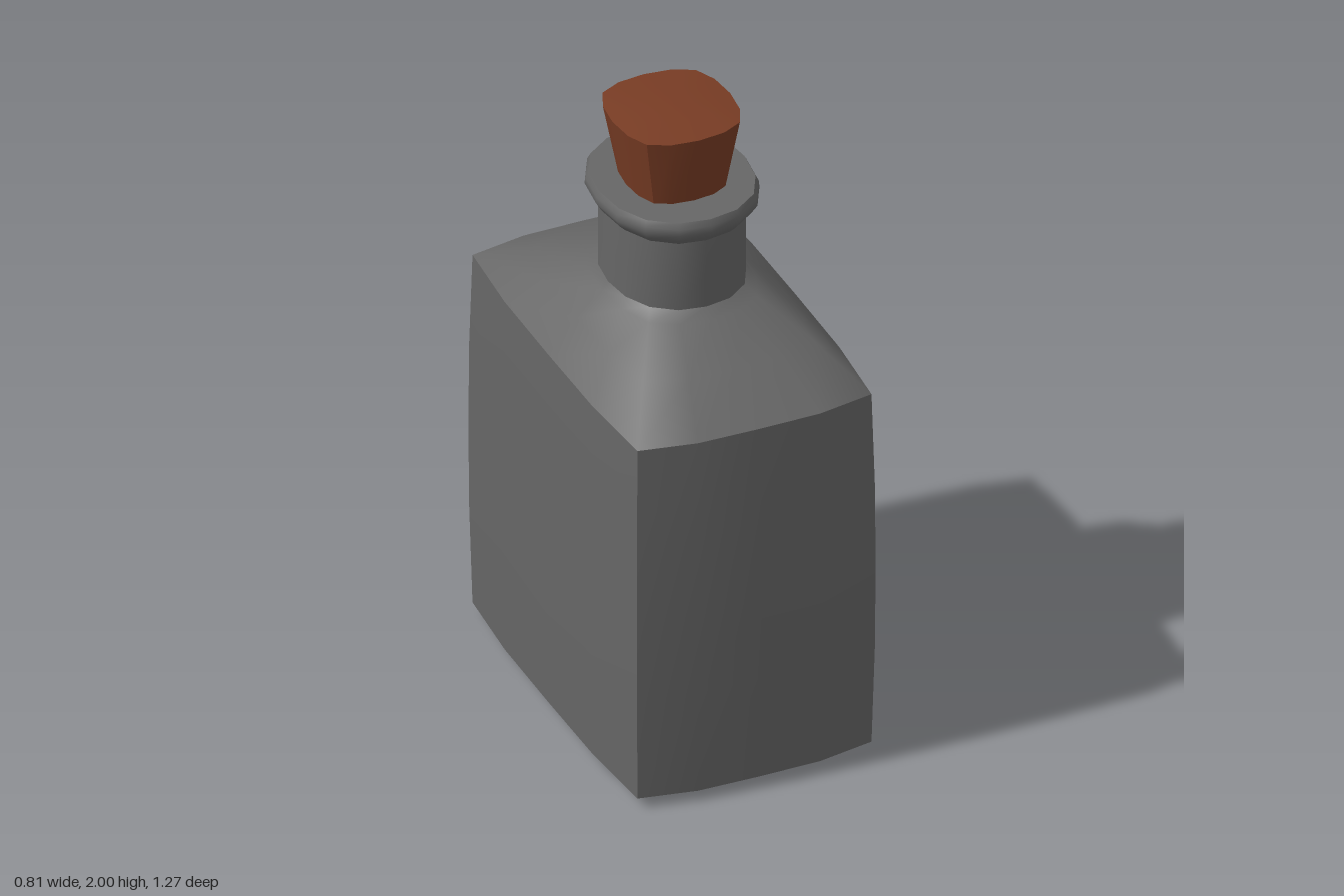
import * as THREE from 'three';
import { toCreasedNormals } from 'three/addons/utils/BufferGeometryUtils.js';

const N = 16; // points around every cross-section

// Mirror a quarter outline (front to side, [x, z]) into a closed ring
function ringFromQuarter(q) {
  const ring = [];
  for (let i = 0; i < N; i++) {
    const k = i % 4, quad = Math.floor(i / 4);
    const [x, z] = quad % 2 === 0 ? q[k] : q[4 - k];
    ring.push([quad < 2 ? x : -x, quad === 0 || quad === 3 ? z : -z]);
  }
  return ring;
}

const at = (ring, y, sx = 1, sz = sx, dz = 0) => ring.map(([x, z]) => [x * sx, y, z * sz + dz]);
const mix = (a, b, t, y) => a.map(([x, z], i) => [x + (b[i][0] - x) * t, y, z + (b[i][1] - z) * t]);

// Skin a stack of rings
function loft(rings, crease) {
  const index = [];
  for (let j = 0; j < rings.length - 1; j++) {
    for (let i = 0; i < N; i++) {
      const n = (i + 1) % N;
      const a = j * N + i, b = j * N + n, c = b + N, d = a + N;
      index.push(a, b, c, a, c, d);
    }
  }
  const geo = new THREE.BufferGeometry();
  geo.setAttribute('position', new THREE.Float32BufferAttribute(rings.flat(2), 3));
  geo.setIndex(index);
  geo.computeVertexNormals();
  return crease ? toCreasedNormals(geo, crease) : geo;
}

export function createModel() {
  const group = new THREE.Group();
  const glass = new THREE.MeshStandardMaterial({ color: 0x666666 });
  glass.name = 'grey glass';
  const corkMat = new THREE.MeshStandardMaterial({ color: 0x783c24 });
  corkMat.name = 'brown cork';

  const add = (name, geo, mat) => {
    const mesh = new THREE.Mesh(geo, mat);
    mesh.name = name;
    group.add(mesh);
  };

  const bodyRing = ringFromQuarter([[0, 0.635], [0.2, 0.632], [0.383, 0.597], [0.403, 0.32], [0.405, 0]]);
  const rimRing = bodyRing.map(([x, z]) => [x * 0.98, z * 0.98]);
  const oval = ringFromQuarter([[0, 1], [0.4, 0.94], [0.74, 0.73], [0.94, 0.4], [1, 0]]);
  const neckRing = oval.map(([x, z]) => [x * 0.206, z * 0.245]);
  const corkRing = ringFromQuarter([[0, 1], [0.45, 0.95], [0.79, 0.79], [0.95, 0.45], [1, 0]]);

  // Slightly bulging walls with sharp corners
  add('bodyWalls', loft([
    at(rimRing, 0.035), at(bodyRing, 0.38, 0.997), at(bodyRing, 0.65),
    at(bodyRing, 0.92, 0.997), at(rimRing, 1.24),
  ], 0.7), glass);

  // Shallow domed underside
  add('base', loft([at(rimRing, 0, 0), at(rimRing, 0.006, 0.5), at(rimRing, 0.035)]), glass);

  // Shoulder blending the box into the oval neck
  add('shoulder', loft([
    mix(rimRing, neckRing, 0, 1.24), mix(rimRing, neckRing, 0.46, 1.345),
    mix(rimRing, neckRing, 0.9, 1.42), mix(rimRing, neckRing, 1, 1.445),
  ]), glass);

  // Neck and rolled lip
  add('neck', loft([at(neckRing, 1.445), at(neckRing, 1.56), at(neckRing, 1.675)]), glass);
  add('lip', loft([
    at(oval, 1.675, 0.206, 0.245), at(oval, 1.695, 0.226, 0.264), at(oval, 1.725, 0.244, 0.284),
    at(oval, 1.745, 0.242, 0.281), at(oval, 1.763, 0.233, 0.272), at(oval, 1.763, 0.14, 0.155),
  ], 0.9), glass);

  // Tapered cork with a faintly domed top
  add('cork', loft([
    at(corkRing, 1.72, 0.138, 0.155, -0.003), at(corkRing, 1.99, 0.189, 0.198, -0.005),
    at(corkRing, 2, 0.1, 0.1, -0.005), at(corkRing, 2, 0),
  ], 0.6), corkMat);

  return group;
}
